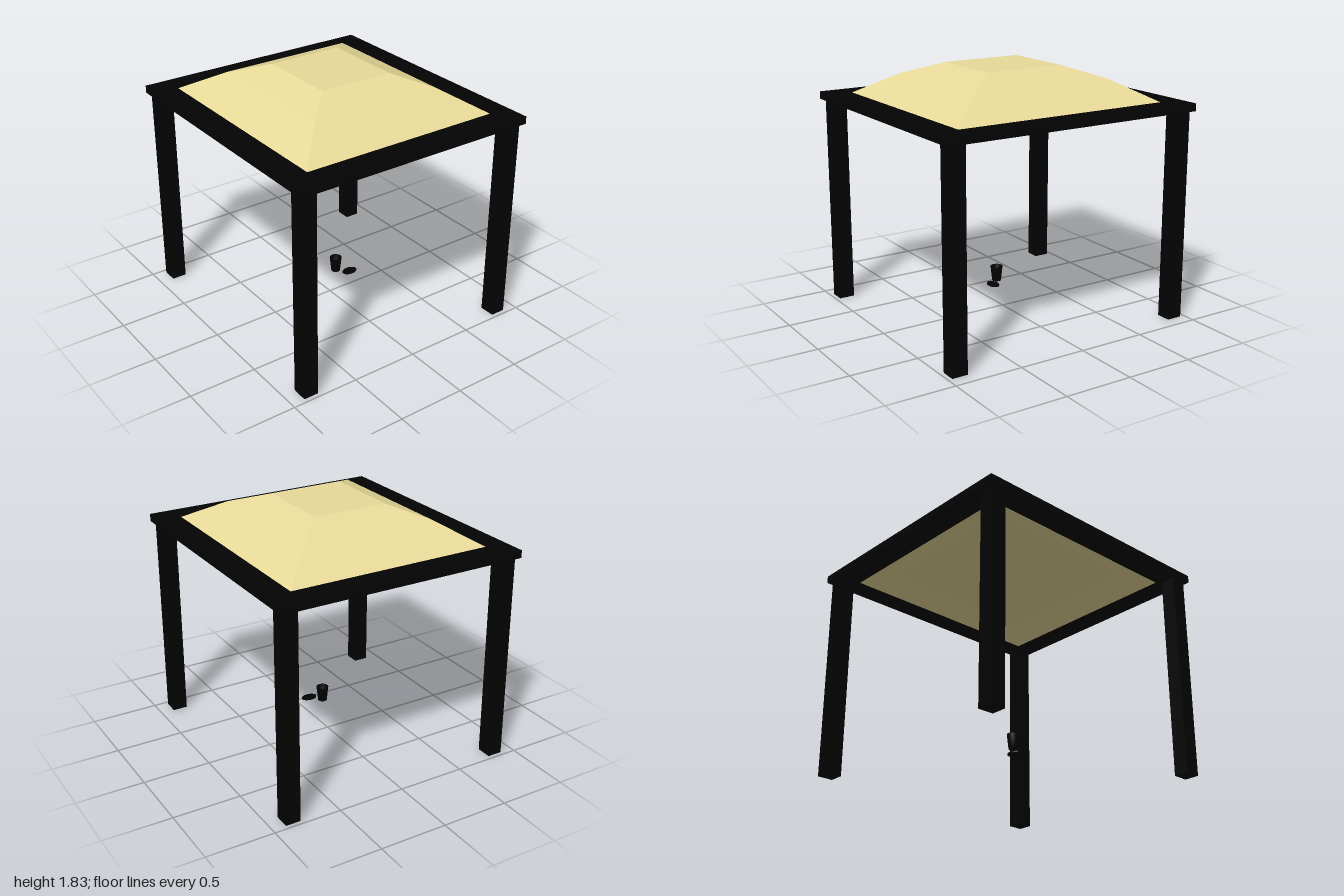
import * as THREE from 'three';

const black = new THREE.MeshStandardMaterial({ color: 0x030303 });
black.name = 'blackMetal';
const canvas = new THREE.MeshStandardMaterial({ color: 0xe8da99, side: THREE.DoubleSide, flatShading: true });
canvas.name = 'tanCanvas';
const cupBlack = new THREE.MeshStandardMaterial({ color: 0x020202, side: THREE.DoubleSide });
cupBlack.name = 'cupBlack';

function add(parent, name, geometry, material, x = 0, y = 0, z = 0) {
  const mesh = new THREE.Mesh(geometry, material);
  mesh.name = name;
  mesh.position.set(x, y, z);
  parent.add(mesh);
  return mesh;
}

// Closed rectangle outline, half sizes w and d
function rectangle(Type, w, d) {
  const r = new Type();
  r.moveTo(-w, -d);
  r.lineTo(w, -d);
  r.lineTo(w, d);
  r.lineTo(-w, d);
  r.closePath();
  return r;
}

// Four-sided shell lofted through rectangles [halfX, y, halfZ], with a flat cap
function hippedShell(levels) {
  const rings = levels.map(([x, y, z]) => [[x, y, z], [x, y, -z], [-x, y, -z], [-x, y, z]]);
  const points = [];
  const quad = (a, b, c, d) => points.push(...a, ...b, ...c, ...a, ...c, ...d);
  for (let i = 0; i < rings.length - 1; i++) {
    for (let k = 0; k < 4; k++) {
      const n = (k + 1) % 4;
      quad(rings[i][k], rings[i][n], rings[i + 1][n], rings[i + 1][k]);
    }
  }
  quad(...rings[rings.length - 1]);
  const geometry = new THREE.BufferGeometry();
  geometry.setAttribute('position', new THREE.Float32BufferAttribute(points, 3));
  geometry.computeVertexNormals();
  return geometry;
}

export function createModel() {
  const model = new THREE.Group();
  model.name = 'gazebo';

  // Corner posts
  const postGeometry = new THREE.BoxGeometry(0.11, 1.532, 0.116);
  for (const [side, x] of [['left', 1], ['right', -1]]) {
    for (const [end, z] of [['Front', 1], ['Back', -1]]) {
      add(model, `${side}${end}Post`, postGeometry, black, x * 0.845, 0.766, z * 0.91);
    }
  }

  // Rectangular roof frame
  const outline = rectangle(THREE.Shape, 0.927, 1);
  outline.holes.push(rectangle(THREE.Path, 0.758, 0.82));
  const frameGeometry = new THREE.ExtrudeGeometry(outline, { depth: 0.055, bevelEnabled: false });
  frameGeometry.rotateX(-Math.PI / 2);
  add(model, 'roofFrame', frameGeometry, black, 0, 1.532, 0);

  // Two-pitch canopy
  add(model, 'canopy', hippedShell([
    [0.758, 1.587, 0.82],
    [0.508, 1.742, 0.548],
    [0.28, 1.83, 0.304],
  ]), canvas);

  // Shallow tray ceiling rising from the lower edge of the frame
  add(model, 'ceiling', hippedShell([
    [0.758, 1.533, 0.82],
    [0.56, 1.6, 0.62],
  ]), canvas);

  // Open tapered cup
  const cupProfile = [[0, 0], [0.033, 0], [0.045, 0.111], [0.041, 0.111], [0.03, 0.005], [0, 0.005]]
    .map(([r, y]) => new THREE.Vector2(r, y));
  add(model, 'cup', new THREE.LatheGeometry(cupProfile, 24), cupBlack, 0.01, 0.216, 0.06);

  // Thin rounded tray beside the cup
  const tray = add(model, 'tray', new THREE.CylinderGeometry(1, 1, 0.009, 24), black, 0.083, 0.221, 0.137);
  tray.scale.set(0.058, 1, 0.039);

  return model;
}
